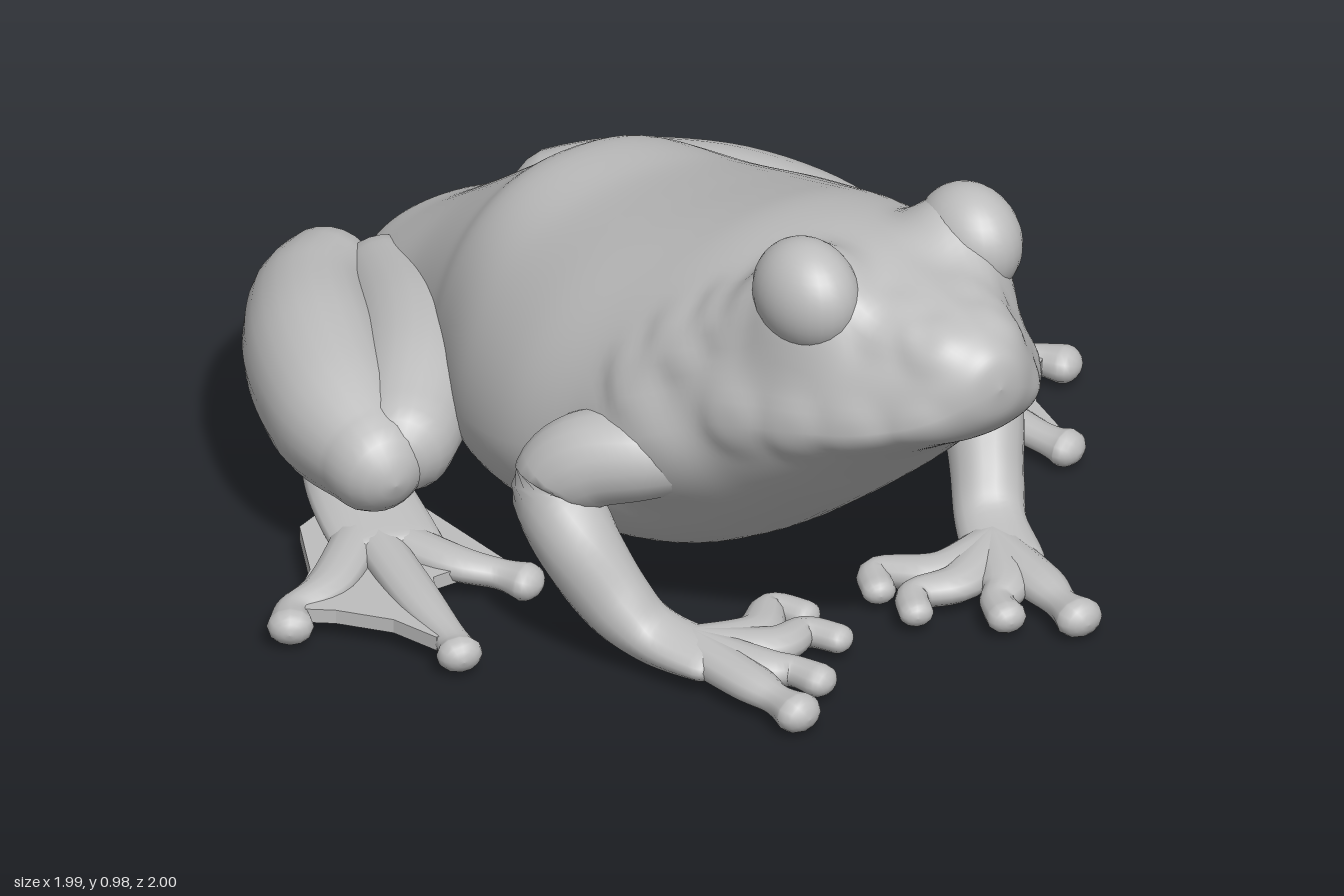
import * as THREE from 'three';

const skin = new THREE.MeshStandardMaterial({ color: 0xbebebe });
skin.name = 'grey skin';

// Smoothly interpolate rows of numbers, n steps between each pair
function sample(rows, n) {
  const out = [], last = rows.length - 1;
  for (let i = 0; i < last; i++) {
    const a = rows[Math.max(i - 1, 0)], b = rows[i], c = rows[i + 1], d = rows[Math.min(i + 2, last)];
    for (let k = 0; k < n; k++) {
      const t = k / n;
      out.push(b.map((v, m) => {
        const p = (c[m] - a[m]) / 2, q = (d[m] - v) / 2;
        return v + t * (p + t * (3 * (c[m] - v) - 2 * p - q + t * (2 * (v - c[m]) + p + q)));
      }));
    }
  }
  out.push(rows[last]);
  return out;
}

// Join closed rings of equal length into one smooth surface
function skinRings(name, rings) {
  const n = rings[0].length, idx = [];
  for (let i = 0; i < rings.length - 1; i++) {
    for (let j = 0; j < n; j++) {
      const a = i * n + j, b = i * n + (j + 1) % n;
      idx.push(a, a + n, b, b, a + n, b + n);
    }
  }
  const g = new THREE.BufferGeometry();
  g.setAttribute('position', new THREE.Float32BufferAttribute(rings.flat(2), 3));
  g.setIndex(idx);
  g.computeVertexNormals();
  const mesh = new THREE.Mesh(g, skin);
  mesh.name = name;
  return mesh;
}

// Round-ended limb through points [x, y, z, radius, widthFactor], mirrored by s
function limb(name, pts, s, sides = 18) {
  const rows = sample(pts.map(([x, y, z, r, f = 1]) => [x * s, y, z, r, f]), 6);
  const vec = (r) => new THREE.Vector3(r[0], r[1], r[2]);
  const up = new THREE.Vector3(0, 1, 0), rings = [];
  rows.forEach((row, i) => {
    const T = vec(rows[Math.min(i + 1, rows.length - 1)]).sub(vec(rows[Math.max(i - 1, 0)])).normalize();
    const S = T.clone().cross(up).normalize(), U = S.clone().cross(T);
    const ring = (shift, k) => {
      const pos = [];
      for (let j = 0; j < sides; j++) {
        const a = j / sides * Math.PI * 2;
        pos.push(vec(row).addScaledVector(T, shift * row[3])
          .addScaledVector(S, Math.cos(a) * row[3] * row[4] * k)
          .addScaledVector(U, Math.sin(a) * row[3] * k).toArray());
      }
      rings.push(pos);
    };
    const cap = [0, 0.3, 0.6, 0.9, 1.2].map((a) => [Math.cos(a), Math.sin(a)]);
    if (i === 0) cap.forEach(([c, k]) => ring(-c, k));
    ring(0, 1);
    if (i === rows.length - 1) cap.reverse().forEach(([c, k]) => ring(c, k));
  });
  return skinRings(name, rings);
}

// Swellings on both sides of the body: [x, y, z, radius, push out, push up]
const bumps = [
  [0.2, 0.83, 0.61, 0.13, 0.02, 0.085], // eye socket
  [0.12, 0.85, 0.78, 0.07, 0.01, 0.012], [0.08, 0.82, 0.88, 0.06, 0.01, 0.01], // snout ridge
  [0.13, 0.66, 0.91, 0.06, 0.01, 0], [0.22, 0.63, 0.8, 0.07, 0.012, 0], // upper lip
  [0.28, 0.61, 0.68, 0.07, 0.012, 0], [0.33, 0.59, 0.55, 0.07, 0.012, 0],
  [0.28, 0.78, 0.46, 0.07, 0.02, 0.01], [0.34, 0.7, 0.37, 0.07, 0.02, 0], // fold behind the eye
  [0.38, 0.6, 0.3, 0.07, 0.02, 0], [0.4, 0.44, 0.34, 0.13, 0.03, 0], // shoulder
];

// Head and trunk: [z, top, bottom, half width, height of widest line, upper sharpness]
function makeBody() {
  const rows = [
    [1.0, 0.75, 0.75, 0, 0.75, 1], [0.985, 0.81, 0.68, 0.065, 0.73, 1],
    [0.94, 0.845, 0.625, 0.125, 0.69, 1.05], [0.88, 0.865, 0.59, 0.175, 0.66, 1.15],
    [0.8, 0.88, 0.54, 0.23, 0.635, 1.2], [0.7, 0.895, 0.46, 0.28, 0.615, 1.15],
    [0.6, 0.91, 0.37, 0.32, 0.595, 1.1], [0.5, 0.91, 0.29, 0.355, 0.57, 1.05],
    [0.4, 0.9, 0.215, 0.385, 0.52, 1], [0.3, 0.88, 0.145, 0.415, 0.47, 0.98],
    [0.18, 0.84, 0.09, 0.455, 0.41, 0.96], [0, 0.78, 0.065, 0.495, 0.36, 0.94],
    [-0.2, 0.725, 0.065, 0.465, 0.33, 0.92], [-0.4, 0.7, 0.075, 0.375, 0.31, 0.88],
    [-0.5, 0.635, 0.085, 0.33, 0.29, 0.85], [-0.65, 0.53, 0.11, 0.28, 0.27, 0.8],
    [-0.8, 0.43, 0.14, 0.25, 0.26, 0.8], [-0.9, 0.375, 0.175, 0.2, 0.26, 0.9],
    [-0.935, 0.335, 0.21, 0.13, 0.265, 1], [-0.95, 0.27, 0.27, 0, 0.27, 1],
  ];
  const sides = 80;
  return skinRings('body', sample(rows, 6).map(([z, top, bottom, w, mid, e]) => {
    const ring = [];
    for (let j = 0; j < sides; j++) {
      const a = j / sides * Math.PI * 2, c = Math.cos(a), s = Math.sin(a);
      const x = w * Math.abs(c) ** (s > 0 ? e : 0.9), y = mid + s * (s > 0 ? top - mid : mid - bottom);
      let dx = 0, dy = 0;
      for (const [bx, by, bz, r, out, lift] of bumps) {
        const k = Math.exp(-((Math.hypot(x - bx, y - by, z - bz) / r) ** 4));
        dx += out * k;
        dy += lift * k;
      }
      ring.push([Math.sign(c) * (x + dx), y + dy, z]);
    }
    return ring;
  }));
}

function makeEye(s) {
  const eye = new THREE.Mesh(new THREE.SphereGeometry(1, 28, 20), skin);
  eye.position.set(0.2 * s, 0.865, 0.615);
  eye.scale.set(0.098, 0.115, 0.125);
  eye.name = s > 0 ? 'leftEye' : 'rightEye';
  return eye;
}

function makeFrontLeg(s) {
  const g = new THREE.Group();
  g.name = s > 0 ? 'leftFrontLeg' : 'rightFrontLeg';
  g.add(limb('arm', [
    [0.3, 0.43, 0.36, 0.08], [0.38, 0.425, 0.3, 0.095], [0.455, 0.4, 0.22, 0.1], [0.5, 0.335, 0.18, 0.09],
    [0.495, 0.235, 0.25, 0.085], [0.455, 0.125, 0.325, 0.074], [0.41, 0.065, 0.4, 0.052, 1.4],
    [0.36, 0.05, 0.52, 0.036, 2.2],
  ], s));
  // Fingers with rounded tips
  [[0.345, 0.785, 0.054], [0.23, 0.7, 0.044], [0.095, 0.58, 0.038], [0.09, 0.46, 0.038]].forEach(([x, z, r]) => {
    g.add(limb('finger', [
      [0.37, 0.054, 0.46, 0.042, 1.2], [(0.37 + x) / 2, 0.048, (0.5 + z) / 2, 0.036, 1.4],
      [x + (0.37 - x) * 0.15, 0.041, z - 0.06, 0.031, 1.15], [x, 0.039, z, r * 0.75, 1.25],
    ], s, 12));
  });
  return g;
}

function makeHindLeg(s) {
  const g = new THREE.Group();
  g.name = s > 0 ? 'leftHindLeg' : 'rightHindLeg';
  g.add(limb('thigh', [
    [0.21, 0.28, -0.8, 0.1], [0.31, 0.285, -0.58, 0.13], [0.43, 0.285, -0.4, 0.13], [0.55, 0.27, -0.27, 0.11],
  ], s, 24));
  g.add(limb('shank', [
    [0.63, 0.25, -0.265, 0.108], [0.6, 0.27, -0.42, 0.14], [0.51, 0.285, -0.62, 0.145],
    [0.395, 0.285, -0.8, 0.125], [0.295, 0.275, -0.89, 0.11],
  ], s, 24));
  g.add(limb('foot', [
    [0.29, 0.23, -0.89, 0.1], [0.36, 0.15, -0.8, 0.085], [0.45, 0.11, -0.63, 0.06, 1.4],
    [0.55, 0.085, -0.42, 0.046, 2.3], [0.62, 0.068, -0.22, 0.033, 3.4],
  ], s, 20));
  // Toes with rounded tips
  [[0.95, -0.1], [0.745, 0.19], [0.46, 0.02]].forEach(([x, z]) => {
    g.add(limb('toe', [
      [0.61, 0.07, -0.32, 0.036, 1.4], [(0.64 + x) / 2, 0.058, (z - 0.25) / 2, 0.033, 1.5],
      [x + (0.64 - x) * 0.15, 0.045, z - 0.05, 0.03, 1.2], [x, 0.041, z, 0.038, 1.25],
    ], s, 12));
  });
  // Webbing between the toes
  const outline = [[0.46, -0.5], [0.71, -0.4], [0.8, -0.24], [0.93, -0.13], [0.86, -0.07],
    [0.79, 0.03], [0.765, 0.14], [0.72, 0.14], [0.68, 0.03], [0.62, -0.07], [0.5, -0.07], [0.46, -0.02], [0.46, -0.25]];
  const shape = new THREE.Shape(outline.map(([x, z]) => new THREE.Vector2(x * s, z)));
  const web = new THREE.Mesh(new THREE.ExtrudeGeometry(shape, { depth: 0.03, bevelEnabled: false }), skin);
  web.geometry.rotateX(Math.PI / 2);
  web.position.y = 0.062;
  web.name = 'webbing';
  g.add(web);
  return g;
}

export function createModel() {
  const model = new THREE.Group();
  model.name = 'frog';
  model.add(makeBody());
  for (const s of [1, -1]) model.add(makeEye(s), makeFrontLeg(s), makeHindLeg(s));
  return model;
}
